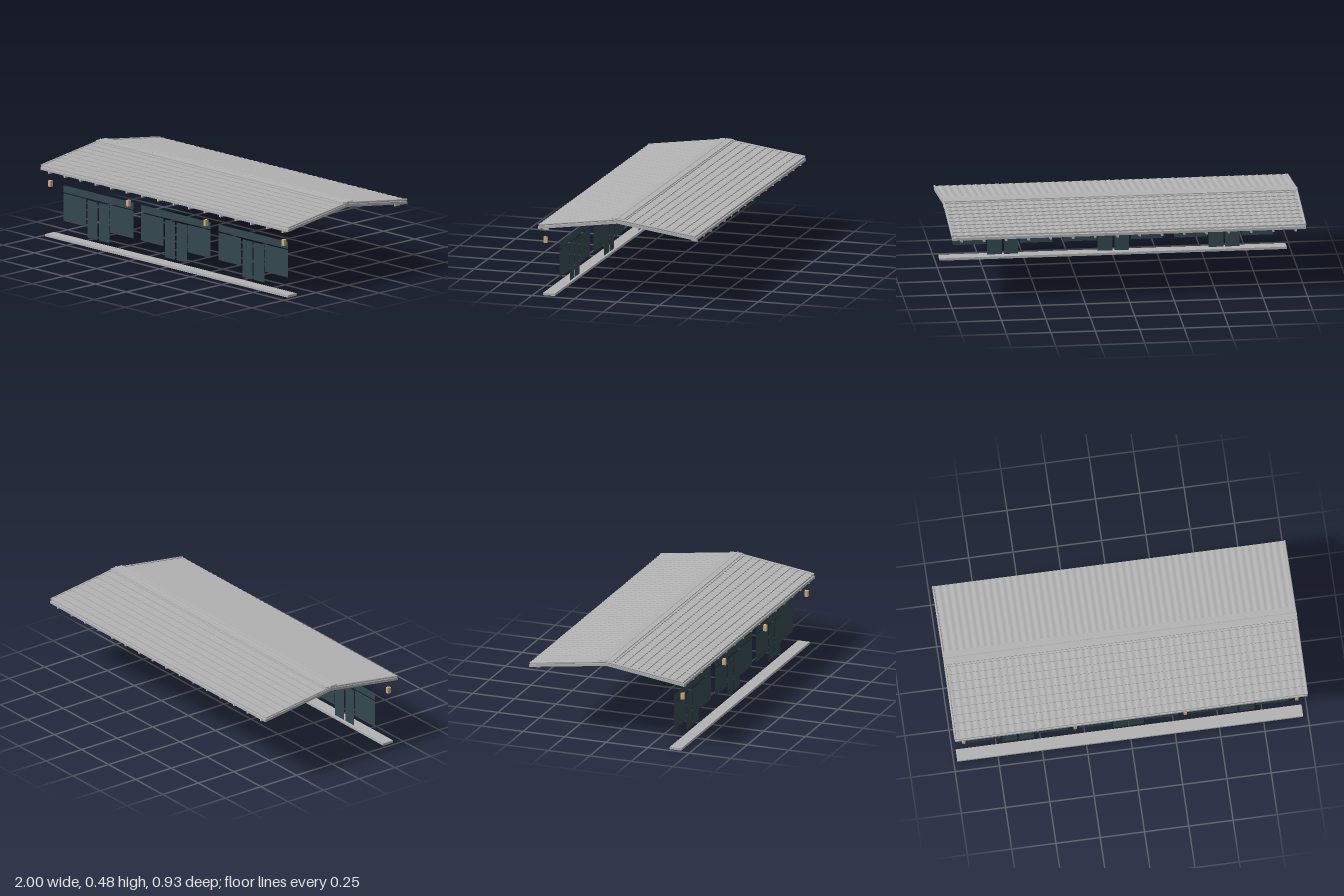
import * as THREE from 'three';

const concrete = new THREE.MeshStandardMaterial({ color: 0xb2b2b2 });
concrete.name = 'grey concrete';
const tile = new THREE.MeshStandardMaterial({ color: 0xb2b2b2, flatShading: true, side: THREE.DoubleSide });
tile.name = 'grey roof tile';
const glass = new THREE.MeshStandardMaterial({ color: 0x33484e, side: THREE.DoubleSide });
glass.name = 'dark glass';
const tan = new THREE.MeshStandardMaterial({ color: 0xcfac78 });
tan.name = 'tan lamp';

function add(parent, name, geometry, material, x = 0, y = 0, z = 0) {
  const mesh = new THREE.Mesh(geometry, material);
  mesh.name = name;
  mesh.position.set(x, y, z);
  parent.add(mesh);
  return mesh;
}

// box given by its limits on each axis
function block(parent, name, material, [x0, x1], [y0, y1], [z0, z1]) {
  return add(parent, name, new THREE.BoxGeometry(x1 - x0, y1 - y0, z1 - z0), material,
    (x0 + x1) / 2, (y0 + y1) / 2, (z0 + z1) / 2);
}

// flat upright pane
function pane(parent, name, x0, x1, y0, y1) {
  return add(parent, name, new THREE.PlaneGeometry(x1 - x0, y1 - y0), glass,
    (x0 + x1) / 2, (y0 + y1) / 2, 0);
}

// one slope of overlapping courses of wavy tiles, from ridge to eave
function tileSlope() {
  const courses = 10, waves = 50, run = 0.46;
  const geo = new THREE.PlaneGeometry(1.98, 1, waves * 6, courses * 2);
  const pos = geo.attributes.position;
  const perRow = waves * 6 + 1;
  for (let i = 0; i < pos.count; i++) {
    const row = Math.floor(i / perRow);
    const lowerEdge = row % 2;
    const z = run * (Math.floor(row / 2) + lowerEdge) / courses;
    const x = pos.getX(i);
    const wave = 0.0015 * Math.sin((x / 1.98) * waves * Math.PI * 2);
    const drop = row === courses * 2 ? -0.004 : 0;
    pos.setXYZ(i, x, 0.473 - 0.141 * z + lowerEdge * 0.005 + wave + drop, z);
  }
  geo.computeVertexNormals();
  return geo;
}

function createRoof() {
  const roof = new THREE.Group();
  roof.name = 'roof';

  // bent roof slab
  const shape = new THREE.Shape();
  [[-0.465, 0.385], [0, 0.45], [0.465, 0.385], [0.465, 0.4], [0, 0.466], [-0.465, 0.4]]
    .forEach(([z, y], i) => (i ? shape.lineTo(z, y) : shape.moveTo(z, y)));
  shape.closePath();
  const slab = new THREE.ExtrudeGeometry(shape, { depth: 1.99, bevelEnabled: false });
  slab.translate(0, 0, -0.995).rotateY(Math.PI / 2);
  add(roof, 'roofSlab', slab, concrete);

  // both slopes carry the same tiles, verge rolls and bracket ends
  const tiles = tileSlope();
  for (const side of [0, 1]) {
    const slope = new THREE.Group();
    slope.name = side ? 'backSlope' : 'frontSlope';
    slope.rotation.y = side * Math.PI;
    roof.add(slope);
    add(slope, 'roofTiles', tiles, tile);
    for (const x of [-0.992, 0.992]) {
      const from = new THREE.Vector3(x, 0.474, 0), to = new THREE.Vector3(x, 0.41, 0.461);
      const verge = new THREE.TubeGeometry(new THREE.LineCurve3(from, to), 1, 0.0065, 10);
      add(slope, 'vergeRoll', verge, tile);
      const cap = add(slope, 'vergeEnd', new THREE.CircleGeometry(0.0065, 10), tile, x, 0.41, 0.461);
      cap.rotation.x = 0.14;
    }
    for (let i = 0; i < 16; i++) {
      const x = -0.94 + i * 0.1253;
      block(slope, 'rafterEnd', concrete, [x - 0.006, x + 0.006], [0.37, 0.388], [0.42, 0.456]);
    }
  }

  // ridge flashing and a row of ridge rolls
  block(roof, 'ridgeFlashing', concrete, [-0.995, 0.995], [0.4755, 0.4805], [-0.042, 0.036]);
  const count = 14, step = 1.996 / count;
  for (let i = 0; i < count; i++) {
    const roll = new THREE.CylinderGeometry(0.0085, 0.0095, step, 10).rotateZ(Math.PI / 2);
    add(roof, 'ridgeRoll', roll, concrete, -0.998 + (i + 0.5) * step, 0.474, 0);
  }
  return roof;
}

// shop front: transom, two side windows and a pair of doors
function createShopFront(x) {
  const front = new THREE.Group();
  front.name = 'shopFront';
  front.position.set(x, 0, 0.371);
  pane(front, 'transomWindow', -0.28, 0.28, 0.255, 0.296);
  pane(front, 'sideWindow', -0.28, -0.099, 0.09, 0.249);
  pane(front, 'sideWindow', 0.094, 0.28, 0.09, 0.249);
  pane(front, 'door', -0.088, -0.007, 0.028, 0.245);
  pane(front, 'door', 0.003, 0.088, 0.028, 0.245);
  return front;
}

export function createModel() {
  const model = new THREE.Group();
  model.name = 'shopRow';
  model.add(createRoof());
  for (const x of [-0.626, -0.003, 0.62]) model.add(createShopFront(x));

  // lamps between the shop fronts
  for (const x of [-0.943, -0.314, 0.308, 0.937]) {
    block(model, 'lamp', tan, [x - 0.0095, x + 0.0095], [0.294, 0.329], [0.429, 0.449]);
  }

  // step along the front
  block(model, 'frontStep', concrete, [-0.98, 0.973], [0, 0.0135], [0.374, 0.444]);
  return model;
}
